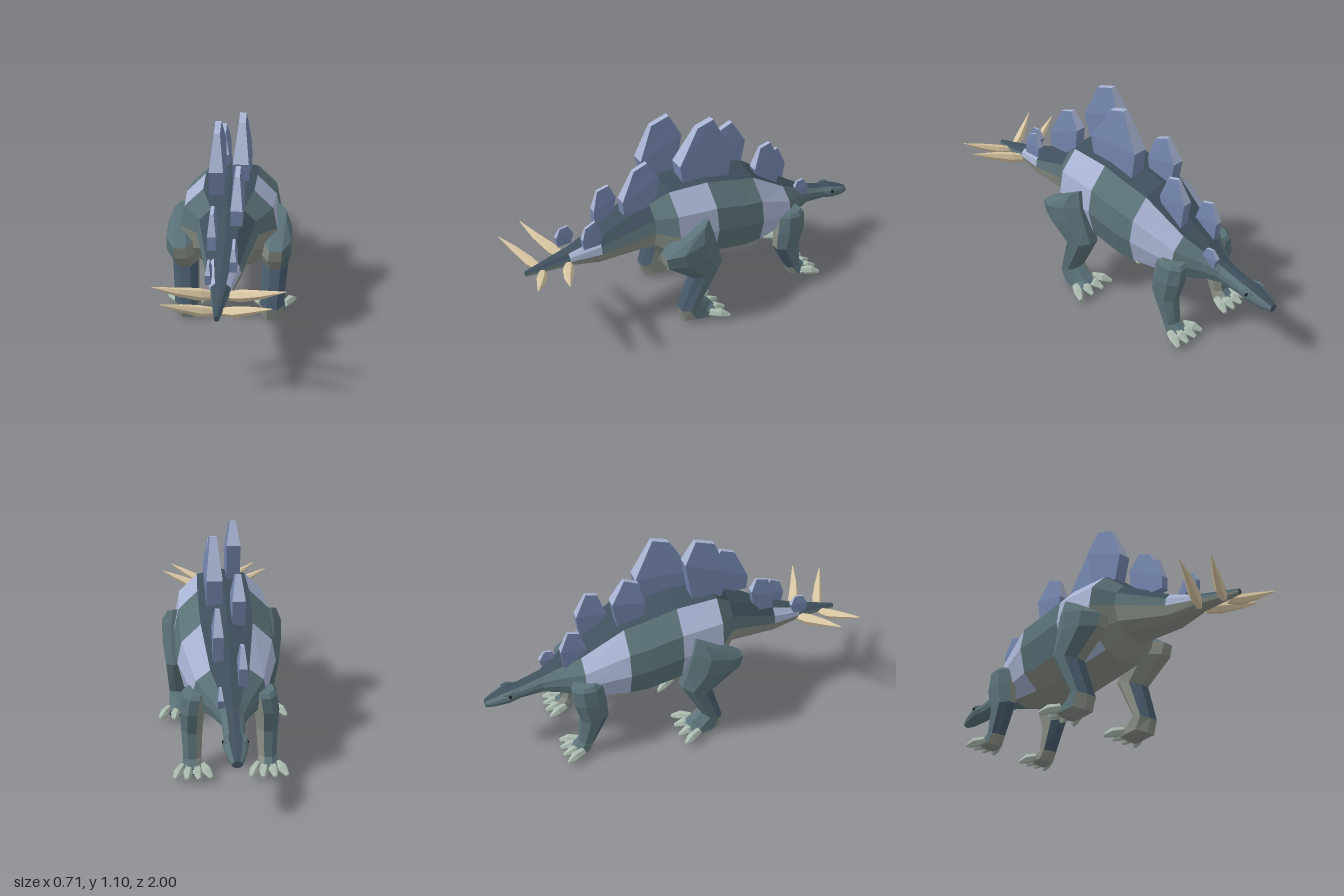
import * as THREE from 'three';

const mat = (name, hex) => {
  const m = new THREE.MeshStandardMaterial({ color: hex });
  m.name = name;
  return m;
};
const V = (x, y, z) => new THREE.Vector3(x, y, z);

export function createModel() {
  const dorsal = mat('dark slate back', 0x3f505d);
  const slate = mat('slate leg', 0x485b6b);
  const teal = mat('teal flank', 0x5a7278);
  const olive = mat('olive belly', 0x878d84);
  const pale = mat('pale blue band', 0xa8b3d2);
  const plateBlue = mat('plate blue', 0x7486ae);
  const bone = mat('bone', 0xdccaa6);
  const claw = mat('pale claw', 0xabbaaf);
  const dark = mat('dark eye', 0x1c2226);
  const group = new THREE.Group();

  // Faceted solid through rings of points; pick(ring, side) gives each face's material
  function loft(name, rings, pick, parent = group) {
    const buckets = new Map();
    let volume = 0;
    const tri = (m, a, b, c) => {
      if (!buckets.has(m)) buckets.set(m, []);
      buckets.get(m).push([a, b, c]);
      volume += a.dot(b.clone().cross(c));
    };
    const n = rings[0].length, last = rings.length - 1;
    for (let j = 0; j < last; j++) for (let i = 0; i < n; i++) {
      const k = (i + 1) % n, m = pick(j, i);
      tri(m, rings[j][i], rings[j][k], rings[j + 1][k]);
      tri(m, rings[j][i], rings[j + 1][k], rings[j + 1][i]);
    }
    // End caps take the material of side -1
    for (let i = 1; i < n - 1; i++) {
      tri(pick(0, -1), rings[0][0], rings[0][i + 1], rings[0][i]);
      tri(pick(last, -1), rings[last][0], rings[last][i], rings[last][i + 1]);
    }
    const geo = new THREE.BufferGeometry(), pos = [], mats = [...buckets.keys()];
    mats.forEach((m, g) => {
      const start = pos.length / 3;
      for (const [a, b, c] of buckets.get(m))
        for (const p of volume < 0 ? [a, c, b] : [a, b, c]) pos.push(p.x, p.y, p.z);
      geo.addGroup(start, pos.length / 3 - start, g);
    });
    geo.setAttribute('position', new THREE.Float32BufferAttribute(pos, 3));
    geo.computeVertexNormals();
    const mesh = new THREE.Mesh(geo, mats.length > 1 ? mats : mats[0]);
    mesh.name = name;
    parent.add(mesh);
  }

  // Body from snout to tail tip: z, top, bottom, half width
  const body = [
    [-1, 0.33, 0.295, 0.024], [-0.96, 0.352, 0.293, 0.042], [-0.88, 0.386, 0.305, 0.062],
    [-0.82, 0.393, 0.315, 0.05], [-0.7, 0.435, 0.322, 0.058], [-0.62, 0.485, 0.31, 0.1],
    [-0.5, 0.565, 0.28, 0.182], [-0.28, 0.725, 0.25, 0.25], [-0.18, 0.75, 0.245, 0.256],
    [0, 0.795, 0.285, 0.258], [0.22, 0.803, 0.33, 0.246], [0.31, 0.725, 0.42, 0.155],
    [0.58, 0.585, 0.41, 0.086], [0.74, 0.53, 0.445, 0.05], [0.965, 0.483, 0.455, 0.013],
  ];
  const half = [[0, 1], [0.52, 0.88], [0.91, 0.48], [1, 0], [0.87, -0.55], [0.5, -0.86], [0, -1]];
  const section = [...half, ...half.slice(1, 6).reverse().map(([x, y]) => [-x, y])];
  const bodyRings = body.map(([z, t, b, w]) =>
    section.map(([x, y]) => V(x * w, (t + b) / 2 + y * (t - b) / 2, z)));
  loft('body', bodyRings, (j, i) => {
    const row = i < 6 ? i : 11 - i;
    const banded = j === 6 || j === 9;
    if (banded && row >= 1 && row <= 4) return pale;
    if (j === 12 && (row === 1 || row === 2)) return pale;
    if (row <= 0 || (j > 10 && row === 1)) return dorsal;
    if (row <= 2 || j < 6) return teal;
    return row === 3 && j < 10 ? teal : olive;
  });

  // Back plates in two staggered rows: half thickness, then outline (z, y) from the rear shoulder over the tip
  const plates = [
    [0.013, [[0.77, 0.58], [0.745, 0.625], [0.7, 0.63], [0.675, 0.58], [0.695, 0.53], [0.765, 0.53]]],
    [0.016, [[0.675, 0.605], [0.655, 0.665], [0.6, 0.69], [0.565, 0.615], [0.585, 0.55], [0.67, 0.55]]],
    [0.021, [[0.56, 0.675], [0.53, 0.78], [0.465, 0.795], [0.435, 0.725], [0.45, 0.65], [0.49, 0.605], [0.56, 0.605]]],
    [0.029, [[0.455, 0.765], [0.38, 0.915], [0.305, 0.94], [0.25, 0.85], [0.27, 0.685], [0.45, 0.685]]],
    [0.036, [[0.295, 0.895], [0.22, 1.07], [0.12, 1.1], [0.06, 0.985], [0.1, 0.76], [0.26, 0.76]]],
    [0.041, [[0.135, 0.875], [0.02, 1.055], [-0.07, 1.08], [-0.17, 0.88], [-0.145, 0.7], [0, 0.74], [0.12, 0.78]]],
    [0.033, [[-0.15, 0.81], [-0.18, 0.92], [-0.255, 0.95], [-0.325, 0.83], [-0.295, 0.66], [-0.165, 0.71]]],
    [0.026, [[-0.325, 0.7], [-0.365, 0.815], [-0.425, 0.83], [-0.485, 0.71], [-0.465, 0.55], [-0.345, 0.64]]],
    [0.021, [[-0.465, 0.585], [-0.495, 0.68], [-0.555, 0.695], [-0.6, 0.595], [-0.585, 0.49], [-0.475, 0.54]]],
    [0.014, [[-0.595, 0.465], [-0.62, 0.515], [-0.66, 0.52], [-0.69, 0.475], [-0.675, 0.425], [-0.605, 0.445]]],
  ];
  plates.forEach(([w, outline], k) => {
    const cx = k % 2 ? 0.054 : -0.058;
    const side = s => outline.map(([z, y], i) => V(cx + s * w * (i === 1 || i === 2 ? 0.42 : 1), y, z));
    // Pale upper rim, blue faces and lower rim
    loft('backPlate', [side(-1), side(1)], (j, i) => (i >= 0 && i <= 2 ? pale : plateBlue));
  });

  // Tapered solid along a path of [x, y, z, radius]
  function taper(name, path, sides, m, parent) {
    const pts = path.map(p => V(p[0], p[1], p[2]));
    const dir = pts[pts.length - 1].clone().sub(pts[0]).normalize();
    const u = V(0, 1, 0).cross(dir).normalize(), v = dir.clone().cross(u);
    loft(name, path.map((p, j) => Array.from({ length: sides }, (_, i) => {
      const a = (i / sides) * Math.PI * 2;
      return pts[j].clone().addScaledVector(u, Math.cos(a) * p[3]).addScaledVector(v, Math.sin(a) * p[3]);
    })), () => m, parent);
  }

  // Leg rings: front z, y, back z, y, centre x, half width
  const hind = [
    [0.065, 0.635, 0.2, 0.565, 0.24, 0.05], [0.045, 0.56, 0.318, 0.485, 0.243, 0.077],
    [0.015, 0.45, 0.305, 0.42, 0.238, 0.082], [-0.015, 0.35, 0.155, 0.295, 0.237, 0.067],
    [0.105, 0.13, 0.22, 0.09, 0.225, 0.063], [0.045, 0.08, 0.2, 0.015, 0.225, 0.064],
    [0.025, 0.062, 0.06, 0.003, 0.228, 0.07],
  ];
  const fore = [
    [-0.56, 0.44, -0.44, 0.45, 0.165, 0.05], [-0.575, 0.42, -0.42, 0.43, 0.172, 0.06],
    [-0.575, 0.34, -0.405, 0.33, 0.185, 0.058], [-0.545, 0.225, -0.4, 0.235, 0.188, 0.053],
    [-0.56, 0.09, -0.48, 0.075, 0.188, 0.045], [-0.585, 0.07, -0.505, 0.02, 0.188, 0.05],
    [-0.6, 0.058, -0.575, 0.01, 0.188, 0.056],
  ];
  function leg(name, rings, s, toeZ, spread) {
    const g = new THREE.Group();
    g.name = name;
    group.add(g);
    // Sides run 0-2 outer, 3 rear, 4-6 inner, 7 front
    loft('limb', rings.map(([fz, fy, bz, by, x, w]) => Array.from({ length: 8 }, (_, i) => {
      const a = ((i + 0.5) / 8) * Math.PI * 2, c = Math.cos(a) / Math.cos(Math.PI / 8);
      return V(s * (x + Math.sin(a) * w * 1.08), (fy + by) / 2 + c * (fy - by) / 2, (fz + bz) / 2 + c * (fz - bz) / 2);
    })), (j, i) => {
      if (j === 0 || i < 0) return teal;
      if (i === 5 || i === 6) return olive;
      if (j < 3) return i === 3 || i === 4 ? olive : teal;
      if (i >= 2 && i <= 4) return j === 3 ? slate : olive;
      return teal;
    }, g);
    // Splayed toes
    const x0 = rings[6][4];
    [-0.75, -0.25, 0.25, 0.75].forEach(t => {
      const dx = t * spread, len = 0.08 - Math.abs(t) * 0.02;
      taper('toe', [
        [s * (x0 + dx * 0.85), 0.048, toeZ + 0.03, 0.02],
        [s * (x0 + dx * 1.25), 0.044, toeZ - len * 0.35, 0.026],
        [s * (x0 + dx * 1.6), 0.03, toeZ - len, 0.01],
      ], 6, claw, g);
    });
  }

  for (const s of [1, -1]) {
    const label = s > 0 ? 'left' : 'right';
    leg(label + 'HindLeg', hind, s, 0.045, 0.098);
    leg(label + 'ForeLeg', fore, s, -0.58, 0.076);
    // Tail spikes
    taper(label + 'FrontTailSpike', [[s * 0.02, 0.462, 0.74, 0.02], [s * 0.1, 0.485, 0.775, 0.03],
      [s * 0.2, 0.52, 0.82, 0.02], [s * 0.307, 0.56, 0.858, 0.002]], 6, bone);
    taper(label + 'RearTailSpike', [[s * 0.012, 0.458, 0.88, 0.018], [s * 0.08, 0.475, 0.91, 0.027],
      [s * 0.16, 0.51, 0.95, 0.018], [s * 0.25, 0.55, 0.998, 0.002]], 6, bone);
    // Eye under a small brow
    taper(label + 'Eye', [[s * 0.05, 0.359, -0.875, 0.012], [s * 0.062, 0.36, -0.875, 0.007]], 6, dark);
    taper(label + 'Brow', [[s * 0.046, 0.37, -0.905, 0.004], [s * 0.05, 0.374, -0.875, 0.008],
      [s * 0.042, 0.376, -0.845, 0.004]], 5, teal);
  }
  return group;
}
